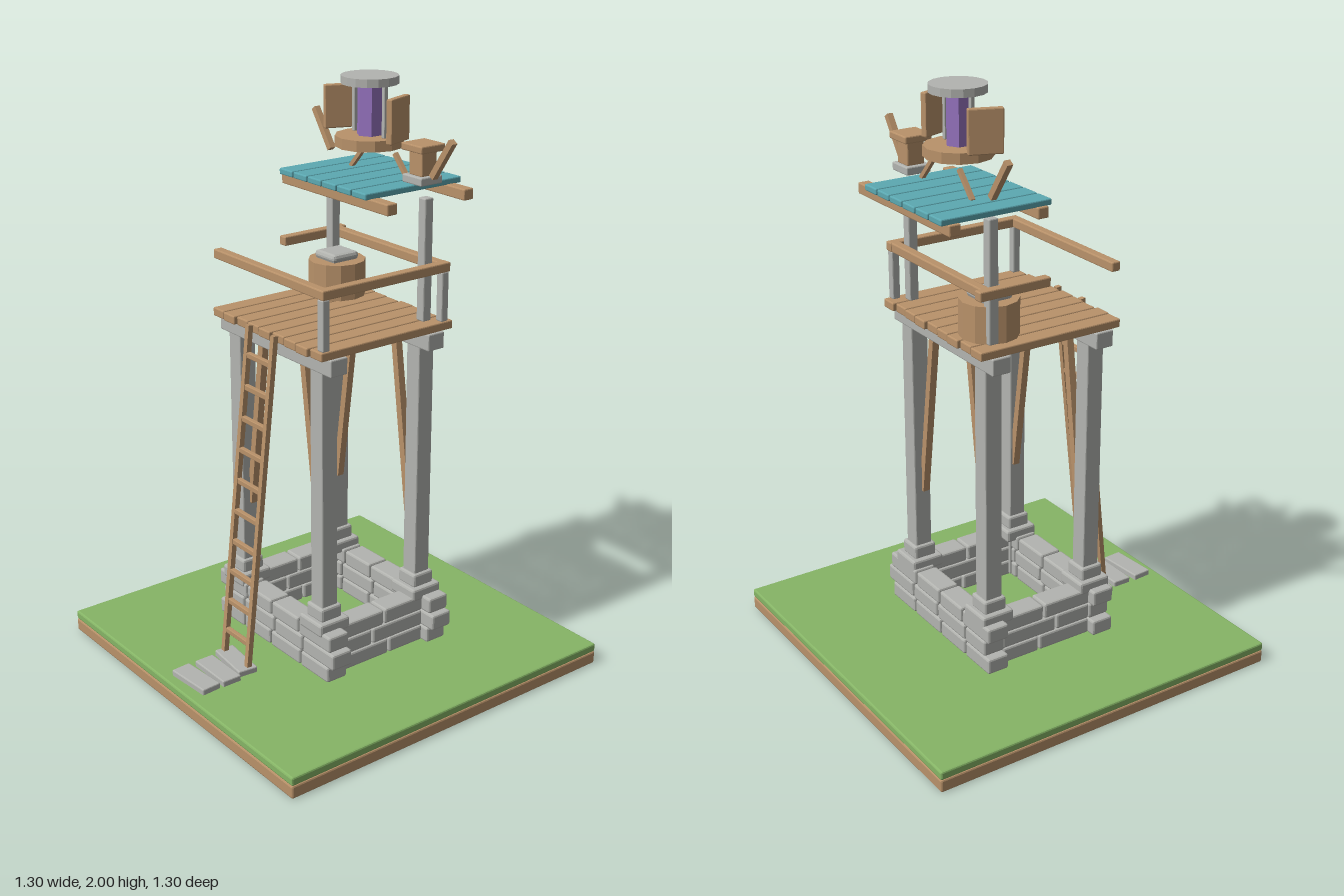
import * as THREE from 'three';
import { RoundedBoxGeometry } from 'three/addons/geometries/RoundedBoxGeometry.js';

const mat = (name, color) => {
  const m = new THREE.MeshStandardMaterial({ color });
  m.name = name;
  return m;
};

export function createModel() {
  const model = new THREE.Group();
  model.name = 'watchtower';
  const wood = mat('wood', 0xb9926a);
  const stone = mat('stone', 0xb3b4b0);
  const grass = mat('grass', 0x86b566);
  const teal = mat('tealPaint', 0x5ca9b2);
  const purple = mat('purpleCrystal', 0x9673bf);

  const add = (name, geo, material, x, y, z) => {
    const mesh = new THREE.Mesh(geo, material);
    mesh.name = name;
    mesh.position.set(x, y, z);
    model.add(mesh);
    return mesh;
  };
  // Chamfered box with flat faces, given by its limits
  const block = (name, m, x0, x1, y0, y1, z0, z1, bevel = 0.004) => {
    const g = new RoundedBoxGeometry(x1 - x0, y1 - y0, z1 - z0, 1, bevel);
    g.computeVertexNormals();
    return add(name, g, m, (x0 + x1) / 2, (y0 + y1) / 2, (z0 + z1) / 2);
  };
  // Faceted upright cylinder
  const drum = (name, m, r, y0, y1, x, z, sides) => {
    const g = new THREE.CylinderGeometry(r, r, y1 - y0, sides).toNonIndexed();
    g.computeVertexNormals();
    return add(name, g, m, x, (y0 + y1) / 2, z);
  };
  // Square bar between two points
  const bar = (name, m, a, b, w, d = w) => {
    const p = new THREE.Vector3(...a), q = new THREE.Vector3(...b);
    const dir = q.clone().sub(p);
    const c = p.clone().add(q).multiplyScalar(0.5);
    const mesh = add(name, new THREE.BoxGeometry(w, dir.length(), d), m, c.x, c.y, c.z);
    mesh.quaternion.setFromUnitVectors(new THREE.Vector3(0, 1, 0), dir.normalize());
    return mesh;
  };

  // Ground slab
  block('soil', wood, -0.65, 0.65, 0.005, 0.05, -0.65, 0.65, 0.006);
  block('lawn', grass, -0.65, 0.65, 0.05, 0.08, -0.65, 0.65, 0.006);

  // Stepping stones
  [[0, 0.405, -0.1], [0.015, 0.488, 0], [0.015, 0.575, 0.07]].forEach(([x, z, turn]) => {
    block('steppingStone', stone, x - 0.085, x + 0.085, 0.075, 0.1, z - 0.035, z + 0.035).rotation.y = turn;
  });

  // Foundation walls: split front and back courses, longer side blocks
  const courses = [
    [0.095, 0.15, [-0.315, -0.165, -0.01, 0.16, 0.315]],
    [0.152, 0.208, [-0.29, -0.165, 0.013, 0.172, 0.343]],
    [0.21, 0.265, [-0.315, -0.147, -0.003, 0.15, 0.325]],
  ];
  courses.forEach(([y0, y1, cuts], row) => {
    for (const z of [-0.215, 0.215]) {
      for (let i = 0; i < 4; i++) {
        block('foundationStone', stone, cuts[i] + 0.004, cuts[i + 1] - 0.004, y0, y1, z - 0.04, z + 0.04, 0.007);
      }
    }
    const split = [-0.03, 0.04, -0.01][row];
    for (const x of [-0.24, 0.24]) {
      block('foundationStone', stone, x - 0.04, x + 0.04, y0, y1, -0.178, split - 0.003, 0.007);
      block('foundationStone', stone, x - 0.04, x + 0.04, y0, y1, split + 0.003, 0.178, 0.007);
    }
  });

  // Legs, footings, cross beams and braces
  for (const z of [-0.195, 0.2]) {
    for (const s of [-1, 1]) {
      const x = s * 0.222;
      block('footing', stone, x - 0.06, x + 0.06, 0.25, 0.295, z - 0.06, z + 0.06, 0.008);
      block('footingCap', stone, x - 0.042, x + 0.042, 0.29, 0.34, z - 0.042, z + 0.042, 0.008);
      block('leg', stone, x - 0.031, x + 0.031, 0.1, 1.16, z - 0.031, z + 0.031);
      bar('brace', wood, [s * 0.195, 0.55, z * 0.95], [s * 0.11, 1.17, z * 0.95], 0.025);
    }
    block('crossBeam', stone, -0.3, 0.3, 1.155, 1.212, z - 0.033, z + 0.033);
  }

  // Deck planks
  for (let i = 0; i < 9; i++) {
    const x = (i - 4) * 0.0655;
    const shift = [0, 0.004, -0.004][i % 3];
    block('deckPlank', wood, x - 0.03, x + 0.03, 1.211, 1.24, -0.266 + shift, 0.266 + shift);
  }

  // Ladder
  for (const x of [-0.068, 0.068]) {
    bar('ladderRail', wood, [x, 0.1, 0.403], [x, 1.24, 0.277], 0.018);
  }
  for (let i = 0; i < 10; i++) {
    const y = 0.18 + i * 0.107;
    const z = 0.403 - ((y - 0.1) / 1.14) * 0.126;
    block('ladderRung', wood, -0.068, 0.068, y - 0.009, y + 0.009, z - 0.008, z + 0.008, 0.002);
  }

  // Railing; the left run is broken short
  block('frontHandrail', wood, -0.295, 0.29, 1.405, 1.437, 0.225, 0.257);
  block('backHandrail', wood, -0.295, 0.29, 1.405, 1.437, -0.252, -0.22);
  block('rightHandrail', wood, 0.26, 0.292, 1.405, 1.437, -0.255, 0.257);
  block('leftHandrail', wood, -0.295, -0.263, 1.405, 1.437, -0.27, -0.01);
  for (const z of [-0.237, 0.242]) {
    block('railPost', stone, 0.262, 0.29, 1.24, 1.406, z - 0.014, z + 0.014);
  }

  // Barrel with stone lid
  drum('barrel', wood, 0.097, 1.24, 1.362, -0.165, -0.153, 12);
  block('barrelLid', stone, -0.22, -0.112, 1.36, 1.39, -0.207, -0.098, 0.012);

  // Roof posts, beams and painted planks
  for (const x of [-0.24, 0.235]) {
    block('roofPost', stone, x - 0.017, x + 0.017, 1.24, 1.645, -0.212, -0.178);
  }
  for (const z of [-0.342, -0.027]) {
    block('roofBeam', wood, -0.275, 0.272, 1.62, 1.657, z - 0.02, z + 0.02);
  }
  for (let i = 0; i < 6; i++) {
    const x = -0.23 + i * 0.0763;
    block('roofPlank', teal, x - 0.035, x + 0.035, 1.655, 1.676, -0.385, 0.01);
  }

  // Crystal lamp
  drum('lampBase', wood, 0.112, 1.775, 1.81, 0, -0.155, 12);
  drum('crystal', purple, 0.042, 1.81, 1.97, 0, -0.155, 6);
  drum('lampCap', stone, 0.093, 1.974, 2, 0, -0.155, 16);

  for (const s of [-1, 1]) {
    block('lampPost', stone, s * 0.075 - 0.007, s * 0.075 + 0.007, 1.81, 1.975, -0.162, -0.148, 0.002);
    // Angled shutters and struts either side of the lamp
    block('shutter', wood, s * 0.145 - 0.011, s * 0.145 + 0.011, 1.81, 1.952, -0.207, -0.095).rotation.y = s * 0.35;
    bar('innerStrut', wood, [s * 0.075, 1.755, -0.2], [s * 0.148, 1.675, -0.2], 0.014);
    bar('outerStrut', wood, [s * 0.345, 1.838, -0.202], [s * 0.258, 1.712, -0.202], 0.021);
  }

  // Small hopper at the corner
  block('hopperBase', stone, 0.158, 0.25, 1.685, 1.712, -0.248, -0.16);
  block('hopperBody', wood, 0.174, 0.236, 1.71, 1.79, -0.236, -0.174);
  block('hopperCap', wood, 0.154, 0.254, 1.788, 1.812, -0.254, -0.156);

  return model;
}
